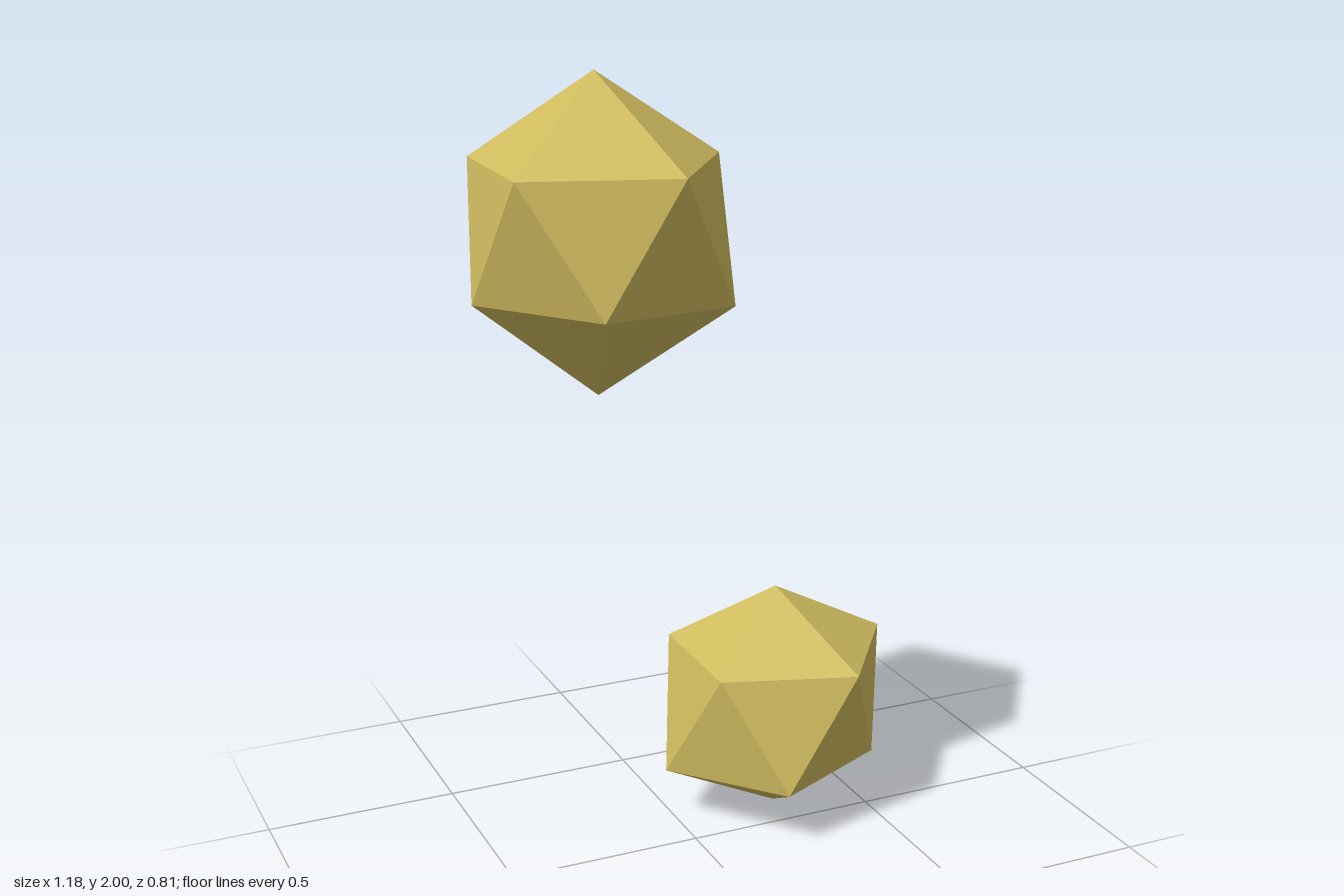
import * as THREE from 'three';

// Faceted nugget: apex, five-point upper ring, five-point lower ring, base.
// Ring points run clockwise seen from above; lower[i] sits between upper[i] and upper[i+1].
function nuggetGeometry(apex, upper, lower, base) {
  const positions = [];
  const face = (...corners) => corners.forEach((p) => positions.push(...p));
  for (let i = 0; i < 5; i++) {
    const j = (i + 1) % 5;
    face(apex, upper[j], upper[i]);
    face(upper[i], upper[j], lower[i]);
    face(lower[i], upper[j], lower[j]);
    face(lower[i], lower[j], base);
  }
  const geometry = new THREE.BufferGeometry();
  geometry.setAttribute('position', new THREE.Float32BufferAttribute(positions, 3));
  geometry.computeVertexNormals();
  return geometry;
}

export function createModel() {
  const group = new THREE.Group();
  const gold = new THREE.MeshStandardMaterial({ color: 0xd0bc5f, flatShading: true });
  gold.name = 'gold';

  // Larger nugget, floating high on the right
  const upperNugget = new THREE.Mesh(nuggetGeometry(
    [-0.295, 2, 0.11],
    [[-0.2, 1.8, -0.19], [0.008, 1.8, 0.11], [-0.2, 1.8, 0.405], [-0.55, 1.8, 0.295], [-0.535, 1.8, -0.065]],
    [[-0.057, 1.5, -0.064], [-0.036, 1.485, 0.297], [-0.386, 1.5, 0.392], [-0.592, 1.5, 0.11], [-0.4, 1.475, -0.214]],
    [-0.295, 1.26, 0.11]
  ), gold);
  upperNugget.name = 'upperNugget';

  // Smaller nugget, resting low on the left
  const lowerNugget = new THREE.Mesh(nuggetGeometry(
    [0.28, 0.617, -0.118],
    [[0.375, 0.457, -0.41], [0.588, 0.457, -0.118], [0.375, 0.457, 0.17], [0.047, 0.452, 0.05], [0.05, 0.455, -0.286]],
    [[0.523, 0.155, -0.297], [0.492, 0.172, 0.039], [0.186, 0.158, 0.166], [-0.032, 0.148, -0.118], [0.195, 0.165, -0.384]],
    [0.28, 0, -0.118]
  ), gold);
  lowerNugget.name = 'lowerNugget';

  group.add(upperNugget, lowerNugget);
  return group;
}
